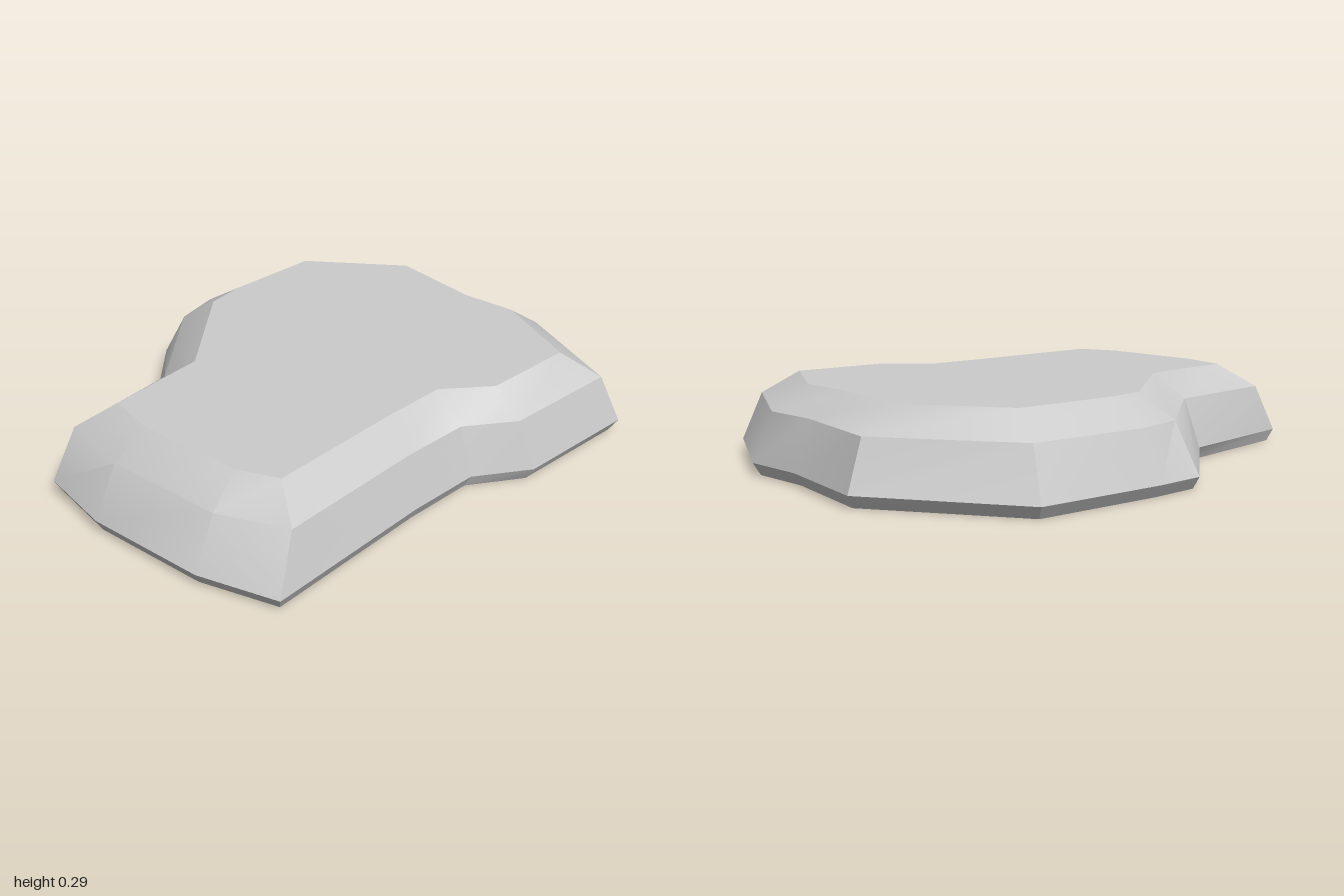
import * as THREE from 'three';
import { toCreasedNormals } from 'three/addons/utils/BufferGeometryUtils.js';

// Outlines [x, z], clockwise seen from above, starting at the back peak
const rim = [[-0.31, -1], [0.1, -0.92], [0.35, -0.92], [0.81, -0.68], [0.79, -0.19], [0.665, -0.01], [0.66, 0.27], [0.69, 0.93],
  [0.41, 1], [-0.04, 1], [-0.335, 0.93], [-0.43, 0.41], [-0.8, 0], [-0.815, -0.19], [-0.81, -0.68]];
const shoulder = [[-0.3, -0.94], [0.1, -0.86], [0.32, -0.86], [0.755, -0.63], [0.735, -0.17], [0.615, -0.01], [0.61, 0.25], [0.635, 0.82],
  [0.4, 0.91], [-0.04, 0.91], [-0.32, 0.84], [-0.375, 0.39], [-0.7, -0.01], [-0.745, -0.19], [-0.73, -0.64]];
const plateau = [[-0.27, -0.81], [0.08, -0.735], [0.29, -0.735], [0.63, -0.55], [0.62, -0.19], [0.49, -0.04], [0.49, 0.2], [0.51, 0.73],
  [0.37, 0.785], [-0.03, 0.785], [-0.22, 0.735], [-0.26, 0.35], [-0.58, -0.05], [-0.605, -0.2], [-0.6, -0.58]];
const base = rim.map(([x, z]) => [x * 0.965, z * 0.975]);

function slabGeometry(levels) {
  const n = levels[0].outline.length;
  const positions = [];
  const index = [];
  for (const { outline, y } of levels) for (const [x, z] of outline) positions.push(x, y, z);

  // Sloped bands between neighbouring outlines
  for (let k = 0; k < levels.length - 1; k++) {
    for (let i = 0; i < n; i++) {
      const j = (i + 1) % n;
      const a = k * n, b = a + n;
      index.push(a + j, a + i, b + i, a + j, b + i, b + j);
    }
  }

  // Flat caps, turned to face up or down
  const cap = (level, up) => {
    const pts = levels[level].outline.map(([x, z]) => new THREE.Vector2(x, z));
    for (const [a, b, c] of THREE.ShapeUtils.triangulateShape(pts, [])) {
      const cross = pts[b].clone().sub(pts[a]).cross(pts[c].clone().sub(pts[a]));
      const o = level * n;
      if ((cross < 0) === up) index.push(o + a, o + b, o + c);
      else index.push(o + a, o + c, o + b);
    }
  };
  cap(0, false);
  cap(levels.length - 1, true);

  const geometry = new THREE.BufferGeometry();
  geometry.setAttribute('position', new THREE.Float32BufferAttribute(positions, 3));
  geometry.setIndex(index);
  return toCreasedNormals(geometry, THREE.MathUtils.degToRad(30));
}

export function createModel() {
  const group = new THREE.Group();
  group.name = 'steppingStone';
  const slab = new THREE.Mesh(
    slabGeometry([
      { outline: base, y: 0 },
      { outline: rim, y: 0.042 },
      { outline: shoulder, y: 0.212 },
      { outline: plateau, y: 0.295 },
    ]),
    new THREE.MeshStandardMaterial({ color: 0xcccccc })
  );
  slab.name = 'stoneSlab';
  group.add(slab);
  return group;
}
